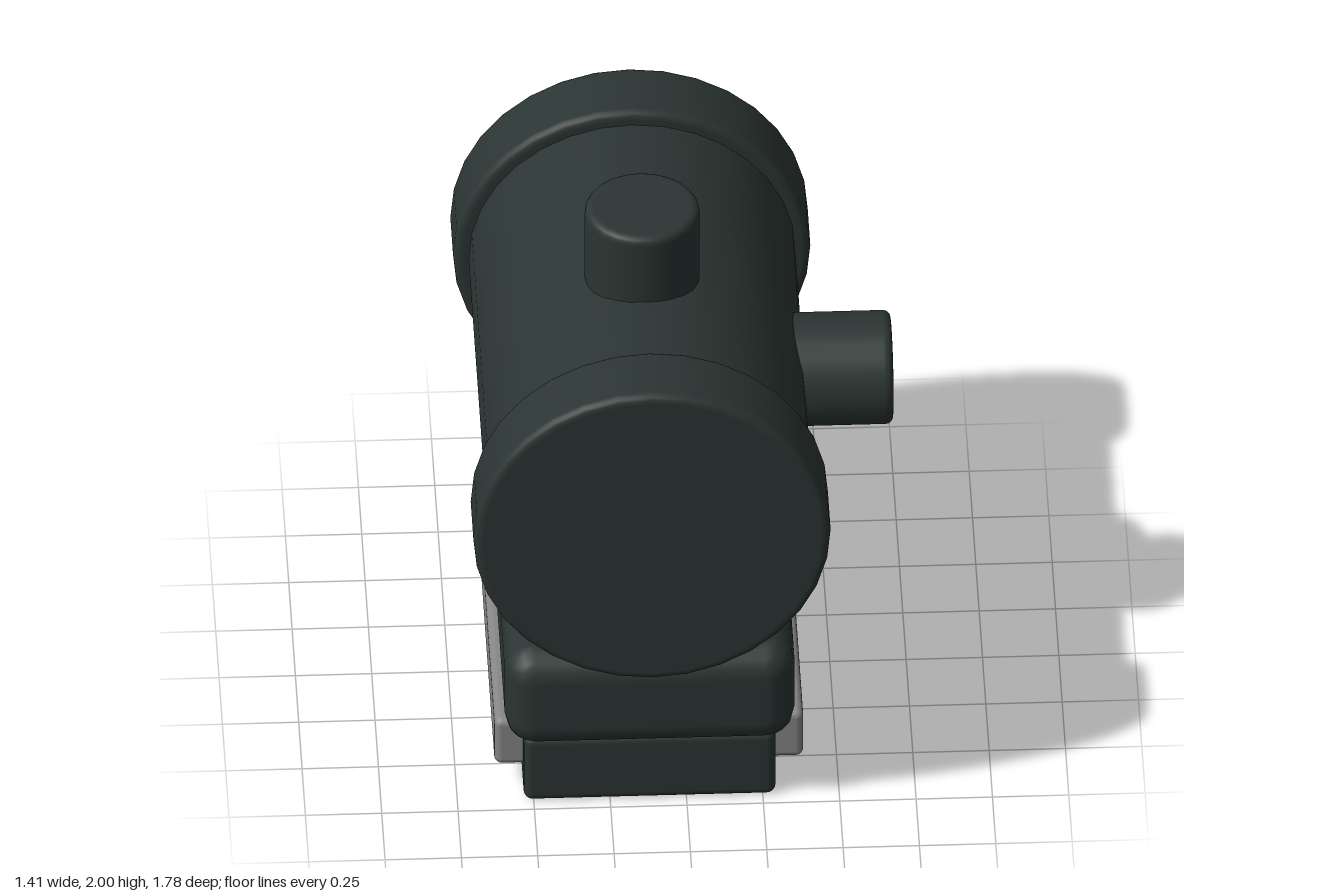
import * as THREE from 'three';
import { RoundedBoxGeometry } from 'three/addons/geometries/RoundedBoxGeometry.js';

// Solid cylinder along y with rounded rims, centred on the origin
function roundedCylinder(radius, length, bevel, sides) {
  const h = length / 2, e = 0.004, steps = 4;
  const points = [new THREE.Vector2(0, -h), new THREE.Vector2(radius - bevel - e, -h)];
  for (const end of [-1, 1]) {
    for (let i = 0; i <= steps; i++) {
      const a = (Math.PI / 2) * (end < 0 ? i / steps - 1 : i / steps);
      points.push(new THREE.Vector2(
        radius - bevel + bevel * Math.cos(a),
        end * (h - bevel) + bevel * Math.sin(a)));
    }
    // short straight run keeps the side wall crisp
    if (end < 0) points.push(new THREE.Vector2(radius, -h + bevel + e), new THREE.Vector2(radius, h - bevel - e));
  }
  points.push(new THREE.Vector2(radius - bevel - e, h), new THREE.Vector2(0, h));
  return new THREE.LatheGeometry(points, sides);
}

export function createModel() {
  const model = new THREE.Group();
  model.name = 'tubeSight';

  const darkMetal = new THREE.MeshStandardMaterial({ color: 0x2b3533 });
  darkMetal.name = 'dark green grey';
  const greyMetal = new THREE.MeshStandardMaterial({ color: 0x868686 });
  greyMetal.name = 'mid grey';

  const add = (name, geometry, material, x, y, z) => {
    const mesh = new THREE.Mesh(geometry, material);
    mesh.name = name;
    mesh.position.set(x, y, z);
    model.add(mesh);
    return mesh;
  };

  const cx = -0.12, cy = 1.21; // tube axis

  // Main tube and its two end rings
  add('tube', new THREE.CylinderGeometry(0.535, 0.535, 1.4, 32, 1, true).rotateX(Math.PI / 2), darkMetal, cx, cy, 0);
  for (const side of [1, -1]) {
    add(side > 0 ? 'frontCap' : 'backCap',
      roundedCylinder(0.585, 0.25, 0.025, 32).rotateX(Math.PI / 2), darkMetal, cx, cy, side * 0.763);
  }

  // Adjustment knobs on top and on the left
  add('topKnob', roundedCylinder(0.188, 0.5, 0.025, 24), darkMetal, cx, 1.75, 0.125);
  add('sideKnob', roundedCylinder(0.188, 0.5, 0.025, 24).rotateZ(-Math.PI / 2), darkMetal, 0.452, cy, 0);

  // Mount: thick upper block, lower block and the clamp bar showing on both sides
  add('upperMount', new RoundedBoxGeometry(0.95, 0.375, 1.585, 2, 0.1), darkMetal, cx, 0.448, 0);
  add('lowerMount', new RoundedBoxGeometry(0.825, 0.26, 1.425, 3, 0.03), darkMetal, cx, 0.13, 0);
  add('clampBar', new RoundedBoxGeometry(1.012, 0.185, 1.285, 3, 0.025), greyMetal, cx, 0.193, 0);

  return model;
}
